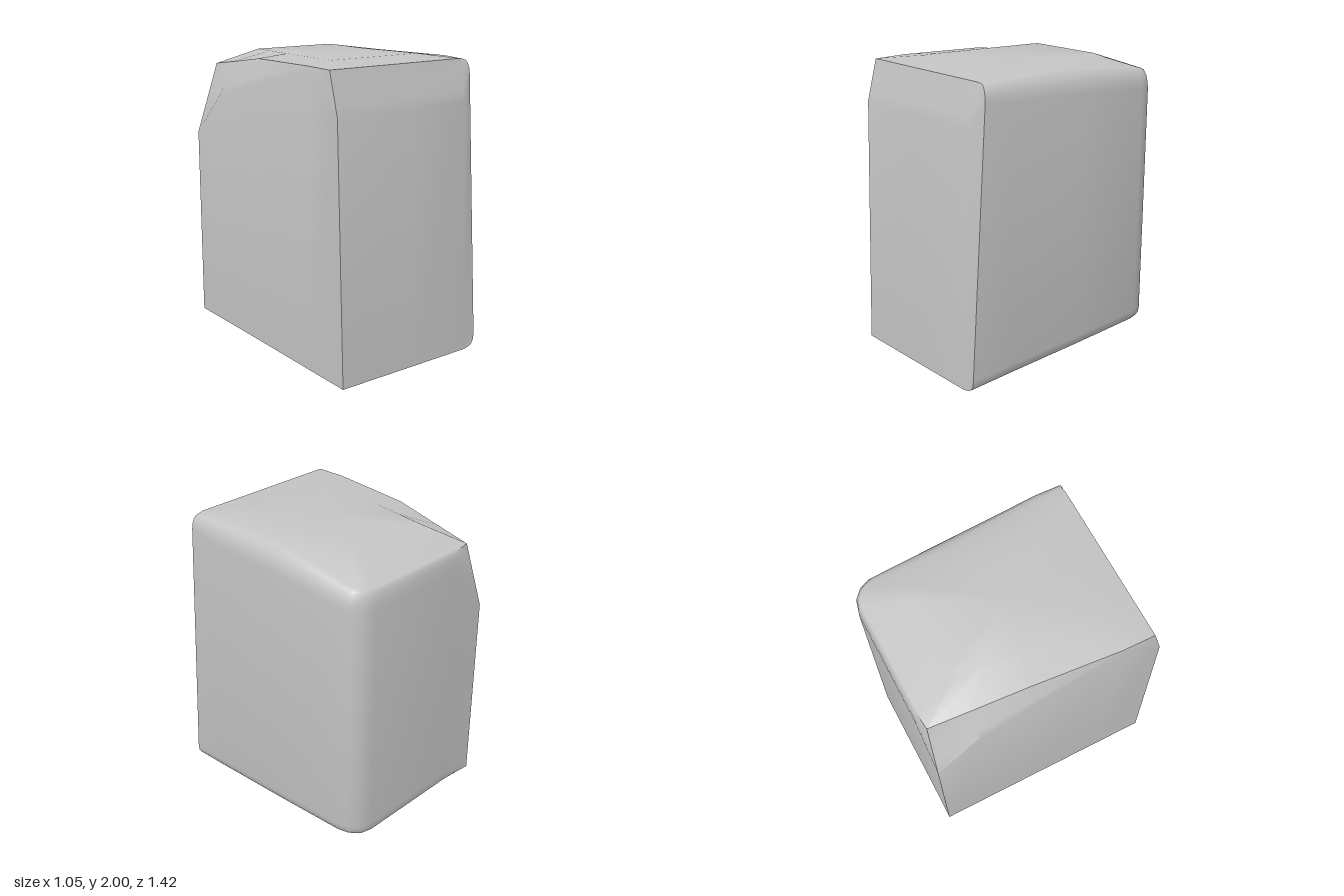
import * as THREE from 'three';
import { toCreasedNormals } from 'three/addons/utils/BufferGeometryUtils.js';

// Plan of the block, counterclockwise from the front left corner:
// x, z, lean of z at the shoulder, bottom y, shoulder y, rim x, rim z, rim y, rounded
const COLUMNS = [
  [-0.53, 0.71, -0.05, 0.225, 1.73, -0.53, 0.595, 1.975, 0],
  [0, 0.71, -0.05, 0.225, 1.73, 0, 0.595, 1.975, 0],
  [0.43, 0.71, -0.055, 0.225, 1.73, 0.43, 0.595, 1.975, 0],
  [0.512, 0.71, -0.105, 0.235, 1.88, 0.465, 0.59, 1.97, 1],
  [0.525, 0.45, 0, 0.26, 1.86, 0.46, 0.45, 1.98, 1],
  [0.525, -0.1, 0, 0.29, 1.84, 0.42, -0.1, 1.98, 1],
  [0.525, -0.57, 0, 0.32, 1.8, 0.465, -0.6, 1.92, 1],
  [0.505, -0.64, 0, 0.32, 1.79, 0.445, -0.64, 1.91, 1],
  [0.455, -0.69, 0, 0.315, 1.78, 0.42, -0.665, 1.905, 1],
  [0.38, -0.71, 0, 0.315, 1.78, 0.38, -0.68, 1.9, 1],
  [-0.3, -0.71, 0, 0.315, 1.78, -0.3, -0.68, 1.9, 1],
  [-0.53, -0.71, 0, 0.315, 1.48, -0.4, -0.68, 1.9, 0],
  [-0.53, -0.45, 0, 0.3, 1.74, -0.43, -0.45, 1.93, 0],
  [-0.53, -0.13, 0, 0.28, 1.83, -0.47, -0.13, 1.975, 0],
  [-0.53, 0.4, 0, 0.245, 1.96, -0.525, 0.4, 1.98, 0],
];

// Points of one column, from the bottom tip over the side to the top centre
function columnPoints([x, z, lean, yB, yS, xT, zT, yT, round]) {
  const points = [[-0.02, 0, 0]];
  const rimX = round && x > 0 ? x * 0.92 : x;
  const rimZ = round && z < 0 ? z * 0.97 : z;
  const low = yB + (round ? 0.07 : 0.03);
  const lowZ = z + lean * (low - yB) / (yS - yB);
  // blunt tip and pyramid underside
  points.push([rimX * 0.1 - 0.02, yB * 0.07, rimZ * 0.1]);
  points.push([rimX, yB, rimZ]);
  // lower edge
  for (let i = 1; i <= 3; i++) {
    const t = i / 3, a = t * Math.PI / 2;
    const h = round ? Math.sin(a) : t, v = round ? 1 - Math.cos(a) : t;
    points.push([rimX + (x - rimX) * h, yB + (low - yB) * v, rimZ + (lowZ - rimZ) * h]);
  }
  // upper edge
  const zS = z + lean;
  for (let i = 0; i <= 4; i++) {
    const t = i / 4, a = t * Math.PI / 2;
    const h = round ? 1 - Math.cos(a) : t, v = round ? Math.sin(a) : t;
    points.push([x + (xT - x) * h, yS + (yT - yS) * v, zS + (zT - zS) * h]);
  }
  // gently domed top
  points.push([xT * 0.64, 1.997, zT * 0.64], [0, 2, 0]);
  return points;
}

function blockGeometry() {
  const columns = COLUMNS.map(columnPoints);
  const position = [];
  const triangle = (...corners) => {
    const [a, b, c] = corners.map((p) => new THREE.Vector3(...p));
    if (new THREE.Triangle(a, b, c).getArea() > 1e-8) {
      for (const p of corners) position.push(...p);
    }
  };
  columns.forEach((c, i) => {
    const d = columns[(i + 1) % columns.length];
    for (let r = 0; r < c.length - 1; r++) {
      triangle(c[r], d[r], d[r + 1]);
      triangle(c[r], d[r + 1], c[r + 1]);
    }
  });
  const geometry = new THREE.BufferGeometry();
  geometry.setAttribute('position', new THREE.Float32BufferAttribute(position, 3));
  return toCreasedNormals(geometry, 0.55);
}

export function createModel() {
  const stone = new THREE.MeshStandardMaterial({ color: 0xc4c4c4 });
  stone.name = 'stone grey';
  const block = new THREE.Mesh(blockGeometry(), stone);
  block.name = 'stoneBlock';
  const group = new THREE.Group();
  group.name = 'pointedStone';
  group.add(block);
  return group;
}
